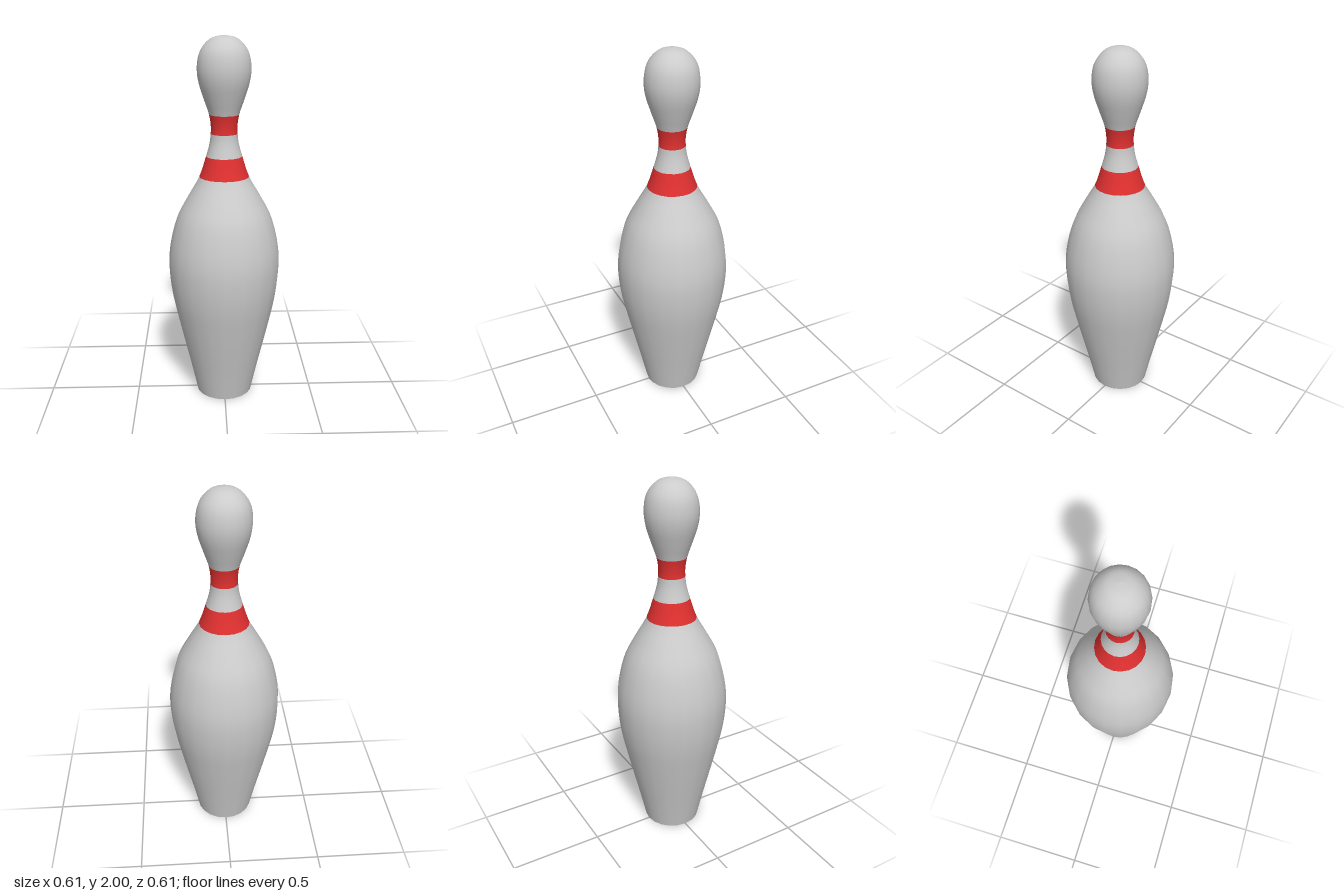
import * as THREE from 'three';

const SIDES = 20;
const STEPS = 4; // samples between profile points

// Profile as [radius, height], from base to crown
const PROFILE = [
  [0.157, 0], [0.19, 0.15], [0.225, 0.3], [0.259, 0.45], [0.286, 0.58], [0.301, 0.7],
  [0.303, 0.82], [0.285, 0.94], [0.249, 1.06], [0.19, 1.17], [0.133, 1.27],
  [0.096, 1.38], [0.077, 1.45], [0.071, 1.5], [0.07, 1.54], [0.079, 1.6],
  [0.106, 1.68], [0.131, 1.76], [0.14, 1.83], [0.131, 1.9], [0.105, 1.95],
  [0.06, 1.988], [0, 2],
];

export function createModel() {
  const group = new THREE.Group();
  const grey = new THREE.MeshStandardMaterial({ color: 0xcccccc });
  const red = new THREE.MeshStandardMaterial({ color: 0xe03030 });

  const curve = new THREE.SplineCurve(PROFILE.map(([r, y]) => new THREE.Vector2(r, y)));
  const points = curve.getPoints((PROFILE.length - 1) * STEPS);
  points.forEach((p) => { p.x = Math.max(p.x, 0); p.y = Math.min(p.y, 2); });

  const add = (name, geometry, material) => {
    const mesh = new THREE.Mesh(geometry, material);
    mesh.name = name;
    group.add(mesh);
  };

  // Turned sections between two profile heights, all sharing one curve
  const sections = [
    ['body', 0, 1.27, grey],
    ['lowerStripe', 1.27, 1.38, red],
    ['neck', 1.38, 1.5, grey],
    ['upperStripe', 1.5, 1.6, red],
    ['head', 1.6, 2, grey],
  ];
  const indexAt = (y) => PROFILE.findIndex((p) => p[1] === y) * STEPS;
  for (const [name, y0, y1, material] of sections) {
    const part = points.slice(indexAt(y0), indexAt(y1) + 1);
    add(name, new THREE.LatheGeometry(part, SIDES), material);
  }

  // Flat underside
  add('base', new THREE.CircleGeometry(PROFILE[0][0], SIDES).rotateX(Math.PI / 2), grey);

  return group;
}
